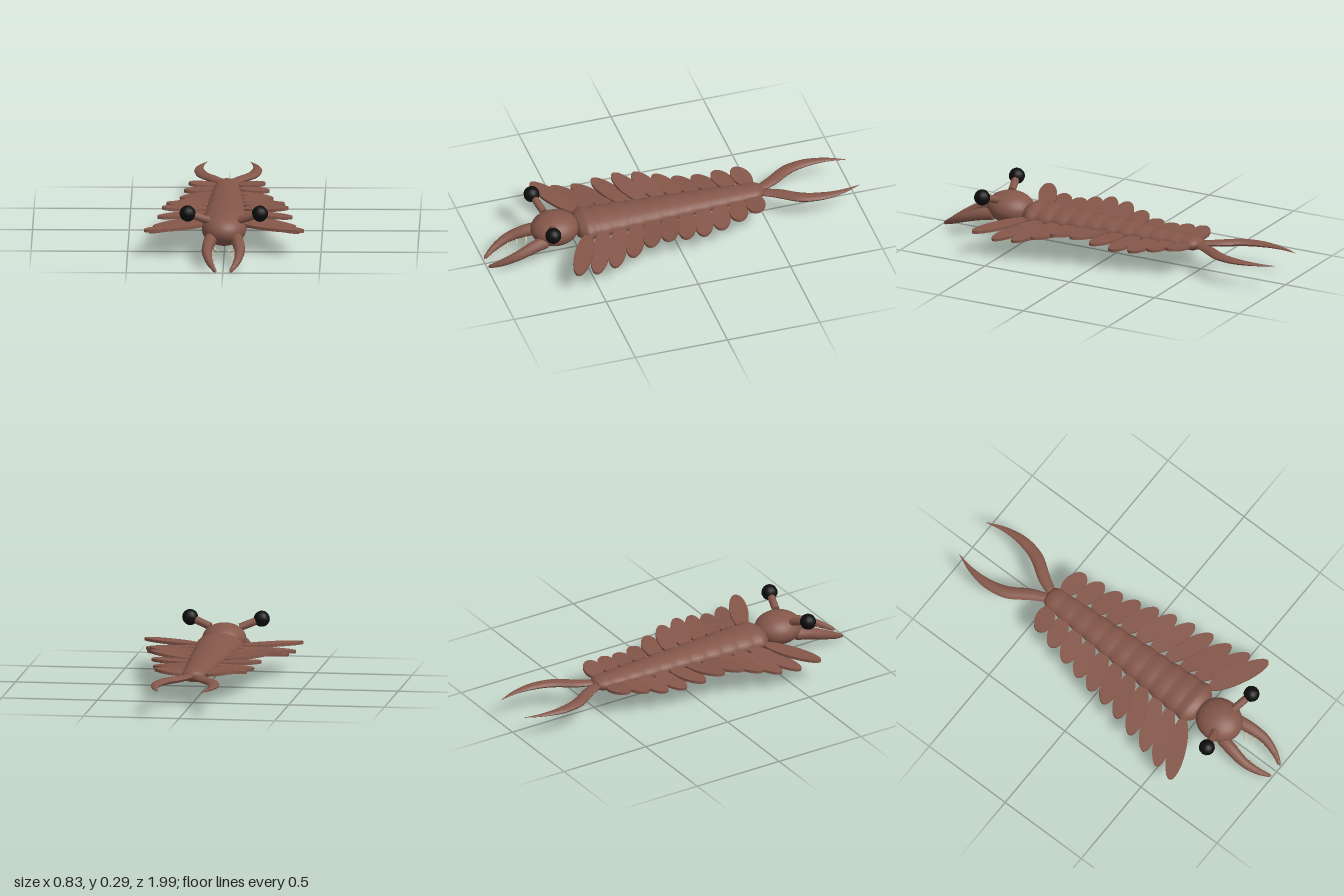
import * as THREE from 'three';
import { toCreasedNormals } from 'three/addons/utils/BufferGeometryUtils.js';

const V = (x, y, z) => new THREE.Vector3(x, y, z);

// Linear interpolation through evenly spaced values
function sample(list, t) {
  const f = t * (list.length - 1), i = Math.min(Math.floor(f), list.length - 2);
  return THREE.MathUtils.lerp(list[i], list[i + 1], f - i);
}

// Curved tube whose radius follows a list, optionally flattened in height
function taperedTube(points, radii, flat = 1, steps = 28, sides = 12) {
  const curve = new THREE.CatmullRomCurve3(points);
  const geo = new THREE.TubeGeometry(curve, steps, 1, sides, false);
  const pos = geo.attributes.position, p = V(0, 0, 0);
  for (let i = 0; i < pos.count; i++) {
    const ring = Math.floor(i / (sides + 1));
    const c = curve.getPointAt(ring / steps);
    const r = ring === 0 || ring === steps ? 0.0005 : sample(radii, ring / steps);
    p.fromBufferAttribute(pos, i).sub(c).multiplyScalar(r);
    pos.setXYZ(i, c.x + p.x, c.y + p.y * flat, c.z + p.z);
  }
  return toCreasedNormals(geo, 0.9);
}

// Straight round part between two points
function rod(a, b, r0, r1, sides) {
  const dir = b.clone().sub(a);
  const geo = new THREE.CylinderGeometry(r1, r0, dir.length(), sides);
  geo.applyQuaternion(new THREE.Quaternion().setFromUnitVectors(V(0, 1, 0), dir.normalize()));
  const mid = a.clone().add(b).multiplyScalar(0.5);
  return geo.translate(mid.x, mid.y, mid.z);
}

export function createModel() {
  const model = new THREE.Group();
  model.name = 'swimmingArthropod';
  const shell = new THREE.MeshStandardMaterial({ color: 0x85574a });
  shell.name = 'brown shell';
  const black = new THREE.MeshStandardMaterial({ color: 0x0d0d0d });
  black.name = 'black eye';
  const cream = new THREE.MeshStandardMaterial({ color: 0xd8cba8 });
  cream.name = 'cream spine';

  const add = (name, geo, mat, parent = model) => {
    const mesh = new THREE.Mesh(geo, mat);
    mesh.name = name;
    parent.add(mesh);
    return mesh;
  };

  // Trunk: tapered, flattened, with a gentle bulge for each segment
  const segments = 11, profile = [new THREE.Vector2(0, -0.51)];
  for (let i = 0; i <= 88; i++) {
    const t = i / 88;
    const bulge = 0.93 + 0.07 * Math.abs(Math.sin(t * segments * Math.PI));
    const end = Math.min(1, 0.72 + (1 - t) * 7, 0.75 + t * 9);
    profile.push(new THREE.Vector2((0.062 + 0.063 * t) * bulge * end, -0.5 + t * 1.01));
  }
  profile.push(new THREE.Vector2(0, 0.53));
  const trunk = new THREE.LatheGeometry(profile, 28);
  trunk.rotateX(Math.PI / 2);
  trunk.scale(1, 0.55, 1).translate(0, 0.141, 0);
  add('trunk', trunk, shell);

  // Head
  const head = new THREE.SphereGeometry(1, 28, 18);
  head.scale(0.115, 0.083, 0.127).translate(0, 0.152, 0.622);
  add('head', head, shell);

  for (const s of [1, -1]) {
    const side = new THREE.Group();
    side.name = s > 0 ? 'leftSide' : 'rightSide';
    model.add(side);

    // Stalked eye
    const eyeAt = V(s * 0.187, 0.25, 0.688);
    add('eyeStalk', rod(V(s * 0.078, 0.208, 0.658), eyeAt, 0.02, 0.02, 12), shell, side);
    const eye = add('eye', new THREE.SphereGeometry(0.042, 12, 10), black, side);
    eye.position.copy(eyeAt);

    // Grasping front claw
    const path = [
      V(s * 0.06, 0.122, 0.68), V(s * 0.074, 0.112, 0.75), V(s * 0.085, 0.08, 0.85),
      V(s * 0.068, 0.043, 0.93), V(s * 0.036, 0.008, 0.994)];
    add('claw', taperedTube(path, [0.035, 0.032, 0.026, 0.019, 0.008]), shell, side);

    // Spines along the inner underside of the claw
    const curve = new THREE.CatmullRomCurve3(path);
    for (let i = 0; i < 5; i++) {
      const a = curve.getPointAt(0.24 + i * 0.145);
      const k = 1 - i * 0.13;
      const knee = a.clone().add(V(-s * 0.036 * k, -0.034 * k, 0.002));
      const tip = knee.clone().add(V(-s * 0.026 * k, -0.016 * k, 0.016 * k));
      add('spine', rod(a, knee, 0.008 * k, 0.005 * k, 6), cream, side);
      add('spineTip', rod(knee, tip, 0.005 * k, 0.0005, 6), cream, side);
    }

    // Overlapping swimming flaps, rippling up and down along the body
    for (let i = 0; i < segments; i++) {
      const t = i / (segments - 1);
      const inner = 0.1 - 0.052 * t, outer = 0.42 - 0.22 * t;
      const yaw = 0.46 - 0.2 * t, roll = -0.12 * Math.sin(i * Math.PI / 3);
      const half = (outer - inner) / 2 / Math.cos(yaw * 0.9);
      const geo = new THREE.CylinderGeometry(1, 1, 0.015, 24);
      geo.scale(half, 1, 0.048 + 0.002 * t);
      geo.rotateY(-s * yaw);
      geo.translate(s * half * Math.cos(yaw), 0, 0);
      const flap = add('flap', geo, shell, side);
      flap.position.set(s * inner, 0.143, 0.545 - 0.0975 * i);
      flap.rotation.z = s * roll;
    }

    // Curved tail blade
    add('tailBlade', taperedTube([
      V(s * 0.012, 0.14, -0.48), V(s * 0.055, 0.141, -0.57), V(s * 0.125, 0.142, -0.68),
      V(s * 0.149, 0.143, -0.79), V(s * 0.141, 0.143, -0.9), V(s * 0.112, 0.142, -1.0)],
    [0.024, 0.033, 0.034, 0.028, 0.015, 0.001], 0.5), shell, side);
  }
  return model;
}
